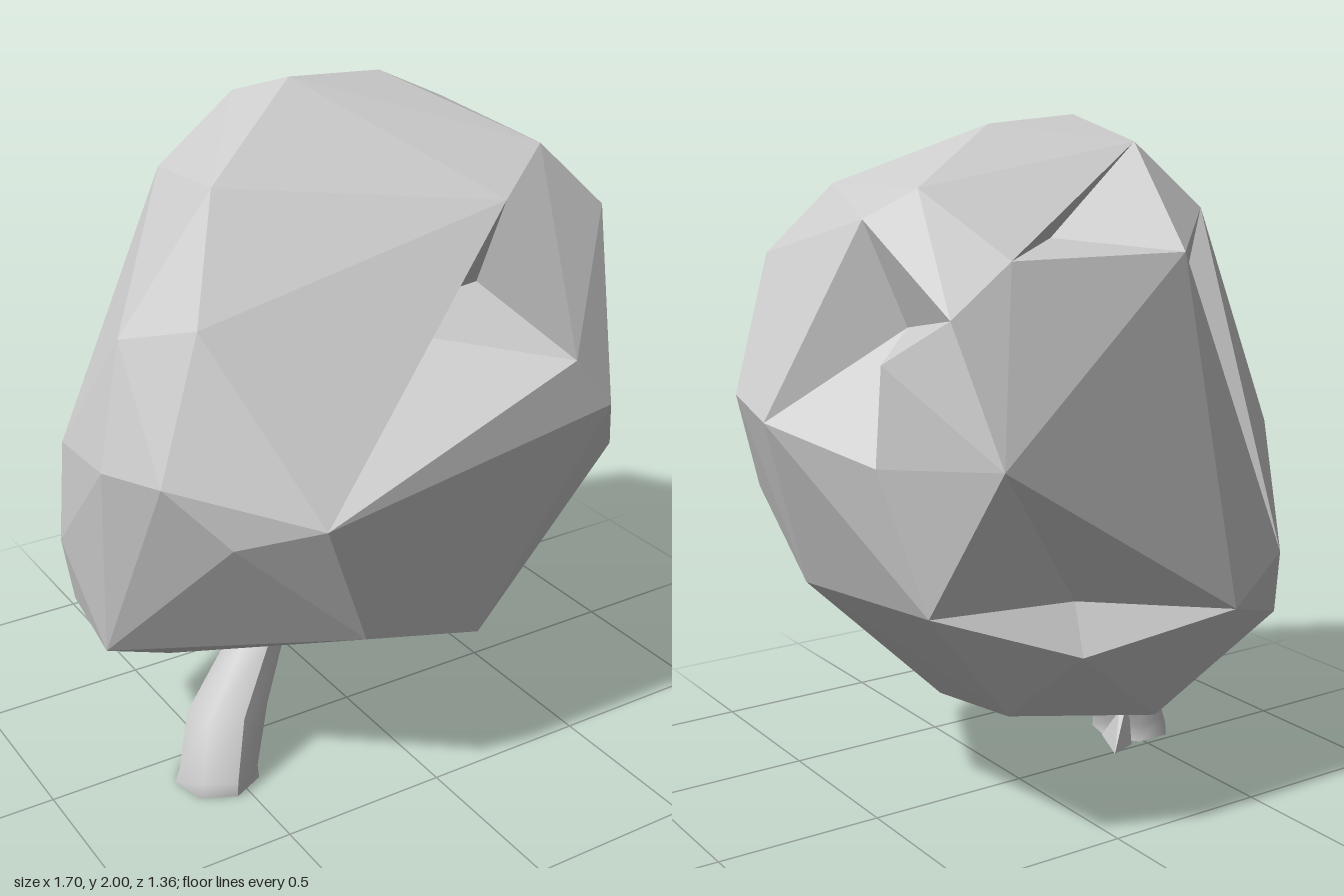
import * as THREE from 'three';
import { ConvexGeometry } from 'three/addons/geometries/ConvexGeometry.js';

const V = (a) => new THREE.Vector3(...a);

// Corners of the faceted crown that also form the rim of a dent
const frontLow = [-0.46, 1.01, 0.65], frontMid = [0.3, 1.32, 0.67], frontHigh = [0.23, 1.71, 0.43];
const backHigh = [-0.45, 1.74, -0.26], backMid = [-0.2, 1.65, -0.5], backLow = [-0.61, 0.74, -0.47];
const crest = [-0.23, 1.93, -0.23], backCorner = [0.36, 1.66, -0.5];
const sideTop = [0.59, 1.75, -0.15], sideBack = [0.56, 1.53, -0.53], sideOuter = [0.7, 1.42, -0.43];
const sideLow = [0.72, 1.16, -0.43], sideFront = [0.85, 1.23, -0.07];
const rumpTop = [0.5, 1.17, -0.68], rumpSide = [0.62, 0.77, -0.51];
const rumpLow = [0.2, 0.61, -0.6], rumpEnd = [-0.33, 0.65, -0.6];

const corners = [
  frontLow, frontMid, frontHigh, backHigh, backMid, backLow, crest, backCorner,
  sideTop, sideBack, sideOuter, sideLow, sideFront, rumpTop, rumpSide, rumpLow, rumpEnd,
  // top
  [-0.17, 2, -0.02], [0.13, 1.98, -0.04], [0.43, 1.81, 0.31], [-0.49, 1.78, 0.13], [0.47, 1.83, -0.23],
  // front and left half
  [0.42, 1.17, 0.68], [0.62, 1.62, 0.36], [0.83, 1.27, 0.14], [0.62, 0.92, 0.46], [0.67, 0.73, 0.07],
  [-0.64, 1.48, 0.32], [-0.64, 0.93, 0.48], [-0.78, 1.09, 0.36], [-0.85, 1.07, 0.15],
  [-0.76, 1.41, 0.1], [-0.84, 1.05, -0.13], [-0.85, 0.73, -0.17],
  // underside
  [0.11, 0.48, 0.53], [-0.28, 0.59, 0.55], [0.31, 0.48, 0.34], [-0.8, 0.43, -0.01], [-0.78, 0.47, -0.27],
  [0.28, 0.34, 0], [-0.57, 0.31, -0.08], [-0.23, 0.28, -0.37], [0.3, 0.4, -0.39],
];

// Each dent replaces the facets inside its rim by folds running to sunken points
const dents = [
  { rim: [frontLow, frontMid, frontHigh], inner: [[-0.2, 1.41, 0.32], [0.31, 1.4, 0.2]] },
  { rim: [backHigh, backMid, backLow], inner: [[-0.48, 1.3, -0.1]] },
  { rim: [crest, backMid, backCorner], inner: [[0.06, 1.68, -0.24]] },
  { rim: [sideTop, sideBack, sideOuter, sideLow, sideFront], inner: [[0.5, 1.47, -0.22]] },
  { rim: [rumpTop, rumpSide, rumpLow, rumpEnd], inner: [[0.15, 0.73, -0.49]] },
];

const key = (v) => v.toArray().map((n) => n.toFixed(4)).join();

function dent(triangles, { rim, inner }) {
  const rimKeys = new Set(rim.map((p) => key(V(p))));
  const inside = (t) => t.every((v) => rimKeys.has(key(v)));
  const edges = new Map();
  for (const t of triangles.filter(inside)) {
    t.forEach((a, i) => edges.set(key(a) + '|' + key(t[(i + 1) % 3]), [a, t[(i + 1) % 3]]));
  }
  const result = triangles.filter((t) => !inside(t));
  const border = [...edges.values()].filter(([a, b]) => !edges.has(key(b) + '|' + key(a)));
  // every rim edge folds in to its nearest sunken point
  const nearest = ([a, b]) => {
    const middle = a.clone().lerp(b, 0.5);
    return inner.map(V).sort((p, q) => p.distanceTo(middle) - q.distanceTo(middle))[0];
  };
  for (const edge of border) {
    const [a, b] = edge;
    const here = nearest(edge);
    const next = nearest(border.find((e) => key(e[0]) === key(b)));
    result.push([a, b, here]);
    if (!here.equals(next)) result.push([b, next, here]);
  }
  return result;
}

function crownGeometry() {
  const pos = new ConvexGeometry(corners.map(V)).getAttribute('position');
  let triangles = [];
  for (let i = 0; i < pos.count; i += 3) {
    triangles.push([0, 1, 2].map((k) => new THREE.Vector3().fromBufferAttribute(pos, i + k)));
  }
  for (const d of dents) triangles = dent(triangles, d);
  const geometry = new THREE.BufferGeometry().setFromPoints(triangles.flat());
  geometry.computeVertexNormals();
  return geometry;
}

// Leaning trunk: rings from top to bottom as [x, y, z, radius x, radius z]
function trunkGeometry() {
  const rings = [
    [-0.29, 0.52, 0.02, 0.085, 0.07],
    [-0.35, 0.38, 0.055, 0.09, 0.075],
    [-0.48, 0.21, 0.11, 0.125, 0.1],
    [-0.54, 0.05, 0.15, 0.115, 0.125],
    [-0.54, 0, 0.14, 0.125, 0.13],
  ];
  const geometry = new THREE.CylinderGeometry(1, 1, 1, 7, rings.length - 1);
  const pos = geometry.getAttribute('position');
  for (let i = 0; i < pos.count; i++) {
    const [x, y, z, rx, rz] = rings[Math.round((0.5 - pos.getY(i)) * (rings.length - 1))];
    pos.setXYZ(i, x + rx * pos.getX(i), y, z + rz * pos.getZ(i));
  }
  geometry.computeVertexNormals();
  return geometry;
}

export function createModel() {
  const model = new THREE.Group();
  model.name = 'tree';
  const grey = new THREE.MeshStandardMaterial({ color: 0xcccccc });
  grey.name = 'light grey';

  const add = (name, geometry) => {
    const mesh = new THREE.Mesh(geometry, grey);
    mesh.name = name;
    model.add(mesh);
  };

  add('crown', crownGeometry());
  add('trunk', trunkGeometry());
  // Small root flaring out at the foot
  add('root', new ConvexGeometry([
    [-0.33, 0.02, -0.05], [-0.45, 0, 0.02], [-0.42, 0, 0.14], [-0.42, 0.1, 0.05], [-0.48, 0.14, 0.08], [-0.5, 0, 0.1],
  ].map(V)));
  return model;
}
